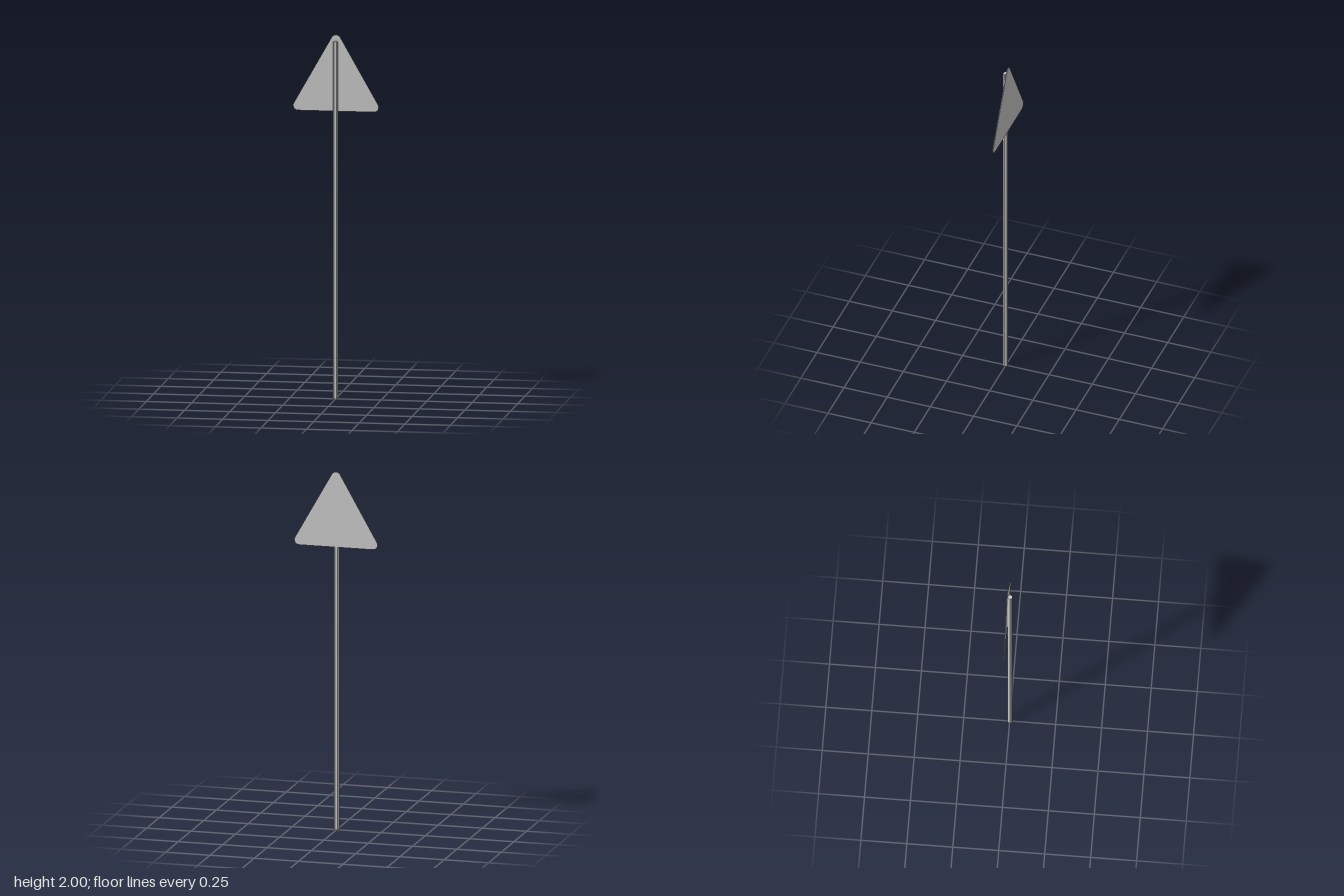
import * as THREE from 'three';

export function createModel() {
  const group = new THREE.Group();
  const material = new THREE.MeshStandardMaterial({ color: 0xcccccc, flatShading: true });

  // Hexagonal pole, with a flat side against the plate
  const poleHeight = 1.965;
  const pole = new THREE.Mesh(new THREE.CylinderGeometry(0.0142, 0.0142, poleHeight, 6), material);
  pole.name = 'pole';
  pole.rotation.y = Math.PI / 6;
  pole.position.set(0, poleHeight / 2, 0.002);
  group.add(pole);

  // Triangular sign plate with rounded corners, one arc per corner
  const radius = 0.027;
  const corners = [[0.208, 1.607], [0, 1.973], [-0.208, 1.607]];
  const outline = new THREE.Shape();
  corners.forEach(([x, y], i) => {
    const start = -Math.PI / 2 + (i * 2 * Math.PI) / 3;
    outline.absarc(x, y, radius, start, start + (2 * Math.PI) / 3, false);
  });
  outline.closePath();
  const plate = new THREE.Mesh(
    new THREE.ExtrudeGeometry(outline, { depth: 0.004, bevelEnabled: false, curveSegments: 6 }),
    material
  );
  plate.name = 'signPlate';
  plate.position.z = -0.0145;
  group.add(plate);

  return group;
}
